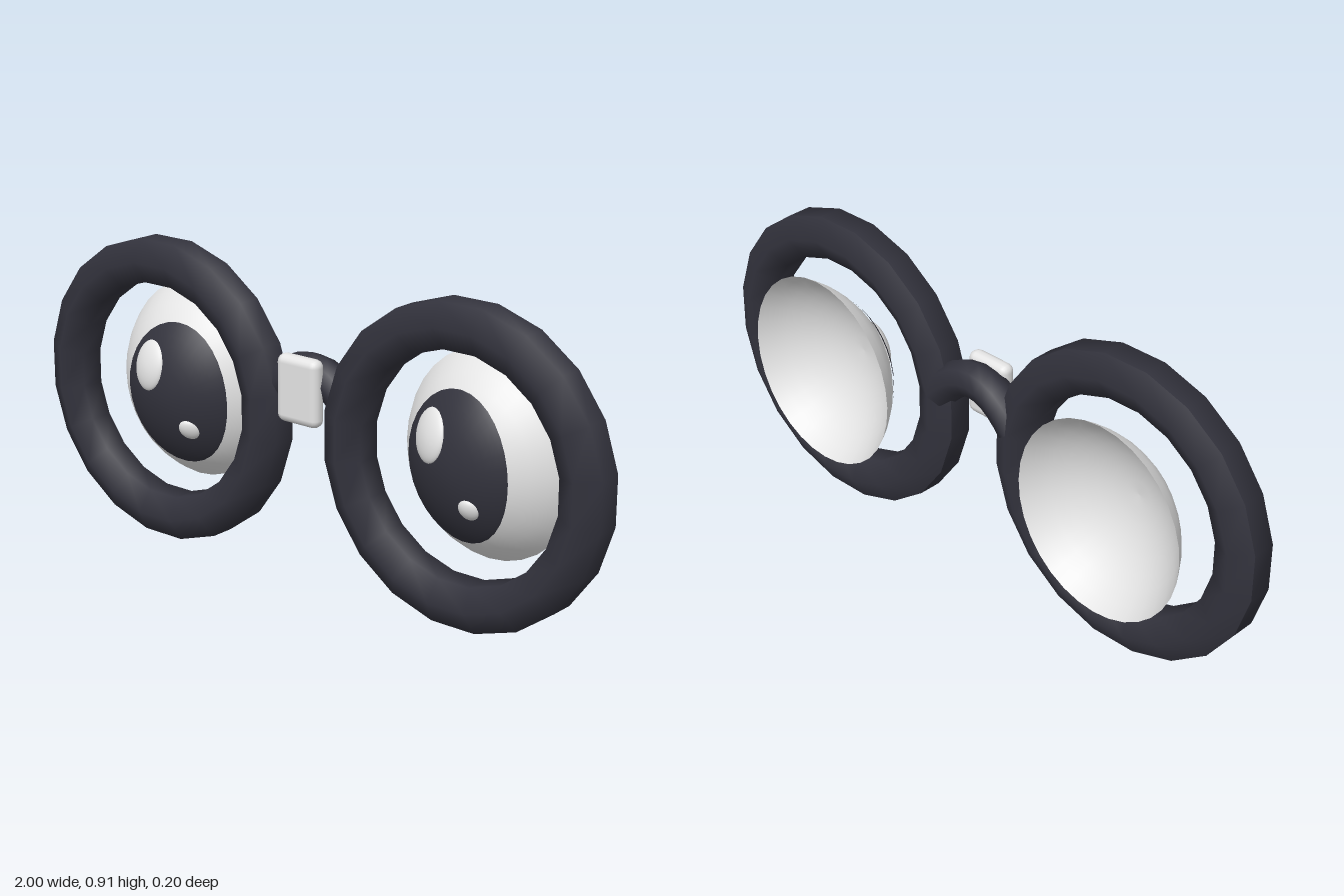
import * as THREE from 'three';
import { RoundedBoxGeometry } from 'three/addons/geometries/RoundedBoxGeometry.js';

const dark = new THREE.MeshStandardMaterial({ color: 0x32323c });
dark.name = 'charcoal';
const white = new THREE.MeshStandardMaterial({ color: 0xe4e4e4, side: THREE.DoubleSide });
white.name = 'white';

const EYE_X = 0.545, EYE_Y = 0.458;
const DOME_R = 0.35, DOME_RIM = 0.303, DOME_SQUASH = 0.94, DOME_Z = -0.275;

// Height of the eye dome's surface at a point measured from the eye centre
function domeZ(x, y) {
  const r = Math.hypot(x / DOME_SQUASH, y);
  return DOME_Z + Math.sqrt(Math.max(0, DOME_R * DOME_R - r * r));
}

function addMesh(parent, name, geometry, material) {
  const mesh = new THREE.Mesh(geometry, material);
  mesh.name = name;
  parent.add(mesh);
  return mesh;
}

// Oval cap that follows the dome and swells by `lift` in its middle
function ovalPatch(cx, cy, rx, ry, base, lift) {
  const geo = new THREE.CircleGeometry(1, 32);
  const rings = 8, sides = 32;
  const pos = [0, 0, 0], index = [];
  for (let i = 1; i <= rings; i++) {
    for (let j = 0; j < sides; j++) {
      const t = Math.sin((i / rings) * Math.PI / 2), a = (j / sides) * Math.PI * 2;
      pos.push(t * Math.cos(a), t * Math.sin(a), 0);
      const k = (j + 1) % sides, row = 1 + (i - 1) * sides, prev = row - sides;
      if (i === 1) index.push(0, row + j, row + k);
      else index.push(prev + j, row + j, row + k, prev + j, row + k, prev + k);
    }
  }
  geo.dispose();
  const patch = new THREE.BufferGeometry();
  patch.setAttribute('position', new THREE.Float32BufferAttribute(pos, 3));
  patch.setIndex(index);
  const p = patch.attributes.position;
  for (let i = 0; i < p.count; i++) {
    const u = p.getX(i), v = p.getY(i);
    const x = cx + u * rx, y = cy + v * ry;
    const swell = Math.sqrt(Math.max(0, 1 - u * u - v * v));
    p.setXYZ(i, x, y, domeZ(x, y) + base + lift * swell);
  }
  patch.computeVertexNormals();
  return patch;
}

// Rim: hexagonal section swept round twenty sides
function rimGeometry() {
  const section = [];
  for (let i = 0; i <= 6; i++) {
    const a = -Math.PI / 6 + (i * Math.PI) / 3;
    section.push(new THREE.Vector2(0.395 + 0.0757 * Math.cos(a), 0.073 * Math.sin(a)));
  }
  return new THREE.LatheGeometry(section, 20, Math.PI / 20).rotateX(Math.PI / 2);
}

// Eye: open shallow bowl facing forward
function domeGeometry() {
  const profile = [];
  const rimAngle = Math.asin(DOME_RIM / DOME_R);
  for (let i = 0; i <= 8; i++) {
    const a = rimAngle * (1 - i / 8);
    profile.push(new THREE.Vector2(DOME_R * Math.sin(a), DOME_R * Math.cos(a) + DOME_Z));
  }
  return new THREE.LatheGeometry(profile, 32).rotateX(Math.PI / 2).scale(DOME_SQUASH, 1, 1);
}

export function createModel() {
  const model = new THREE.Group();
  model.name = 'eyeglasses';

  for (const side of [1, -1]) {
    const lens = new THREE.Group();
    lens.name = side > 0 ? 'leftLens' : 'rightLens';
    lens.position.set(side * EYE_X, EYE_Y, 0);
    model.add(lens);

    addMesh(lens, 'rim', rimGeometry(), dark).position.z = 0.0275;
    addMesh(lens, 'eyeball', domeGeometry(), white);

    // Pupils turn inward, while both eyes catch the light on the same side
    const px = -side * 0.029, py = -0.014;
    addMesh(lens, 'pupil', ovalPatch(px, py, 0.18, 0.22, 0.004, 0.006), dark);
    addMesh(lens, 'largeHighlight', ovalPatch(px - 0.068, py + 0.087, 0.06, 0.075, 0.006, 0.018), white);
    addMesh(lens, 'smallHighlight', ovalPatch(px + 0.071, py - 0.091, 0.03, 0.031, 0.006, 0.016), white);
  }

  // Arched bridge between the rims
  const arch = new THREE.QuadraticBezierCurve3(
    new THREE.Vector3(-0.15, 0.52, 0.008),
    new THREE.Vector3(0, 0.71, 0.008),
    new THREE.Vector3(0.15, 0.52, 0.008)
  );
  addMesh(model, 'bridge', new THREE.TubeGeometry(arch, 10, 0.055, 8, false), dark);

  // Tape wrapped over the front of the bridge
  const tape = addMesh(model, 'tape', new RoundedBoxGeometry(0.15, 0.2, 0.05, 2, 0.024), white);
  tape.position.set(0, 0.57, 0.061);

  return model;
}
